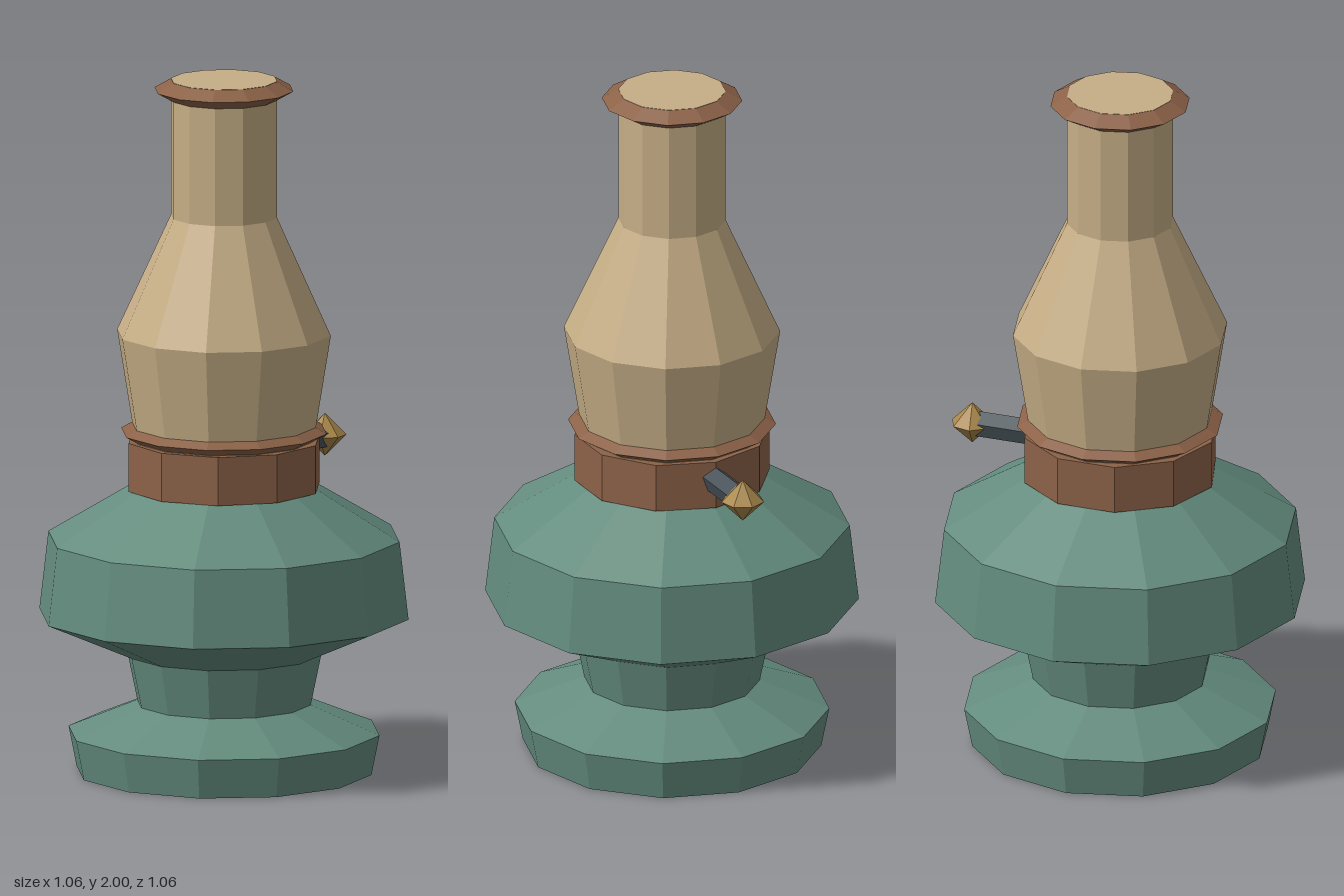
import * as THREE from 'three';

const paint = (color) => {
  const m = new THREE.MeshStandardMaterial({ flatShading: true });
  m.color.set(color);
  return m;
};

export function createModel() {
  const group = new THREE.Group();
  const green = paint(0x648c7e), glass = paint(0xc6ae86), copper = paint(0x8c6248);
  const steel = paint(0x485258), brass = paint(0xa88648);

  const add = (name, geometry, material, x = 0, y = 0) => {
    const mesh = new THREE.Mesh(geometry, material);
    mesh.name = name;
    mesh.position.set(x, y, 0);
    group.add(mesh);
  };
  // twelve-sided turned part from [radius, height] pairs, bottom to top
  const turned = (profile) =>
    new THREE.LatheGeometry(profile.map(([r, y]) => new THREE.Vector2(r, y)), 12);
  // rim with a triangular section pointing outward
  const rim = (radius, tube) => new THREE.TorusGeometry(radius, tube, 3, 12).rotateX(Math.PI / 2);

  // foot, waist and fuel tank
  add('base', turned([
    [0, 0], [0.425, 0], [0.448, 0.115], [0.25, 0.197], [0.28, 0.342],
    [0.532, 0.453], [0.506, 0.677], [0.27, 0.82], [0, 0.82],
  ]), green);

  // burner collar and its rim
  add('burnerCollar', new THREE.CylinderGeometry(0.28, 0.28, 0.14, 10).rotateY(Math.PI / 2), copper, 0, 0.89);
  add('collarRim', rim(0.269, 0.027), copper, 0, 0.983);

  // chimney and its top rim
  add('chimney', turned([
    [0, 0.96], [0.258, 0.96], [0.308, 1.268], [0.153, 1.605], [0.153, 2], [0, 2],
  ]), glass);
  add('chimneyRim', rim(0.168, 0.032), copper, 0, 1.972);

  // wick adjuster on the left side
  add('wickShaft', new THREE.CylinderGeometry(0.038, 0.038, 0.24, 5)
    .rotateY(Math.PI / 2).rotateZ(Math.PI / 2), steel, 0.33, 0.905);
  add('wickKnob', new THREE.SphereGeometry(0.062, 7, 2).rotateY(Math.PI), brass, 0.45, 0.905);

  return group;
}
